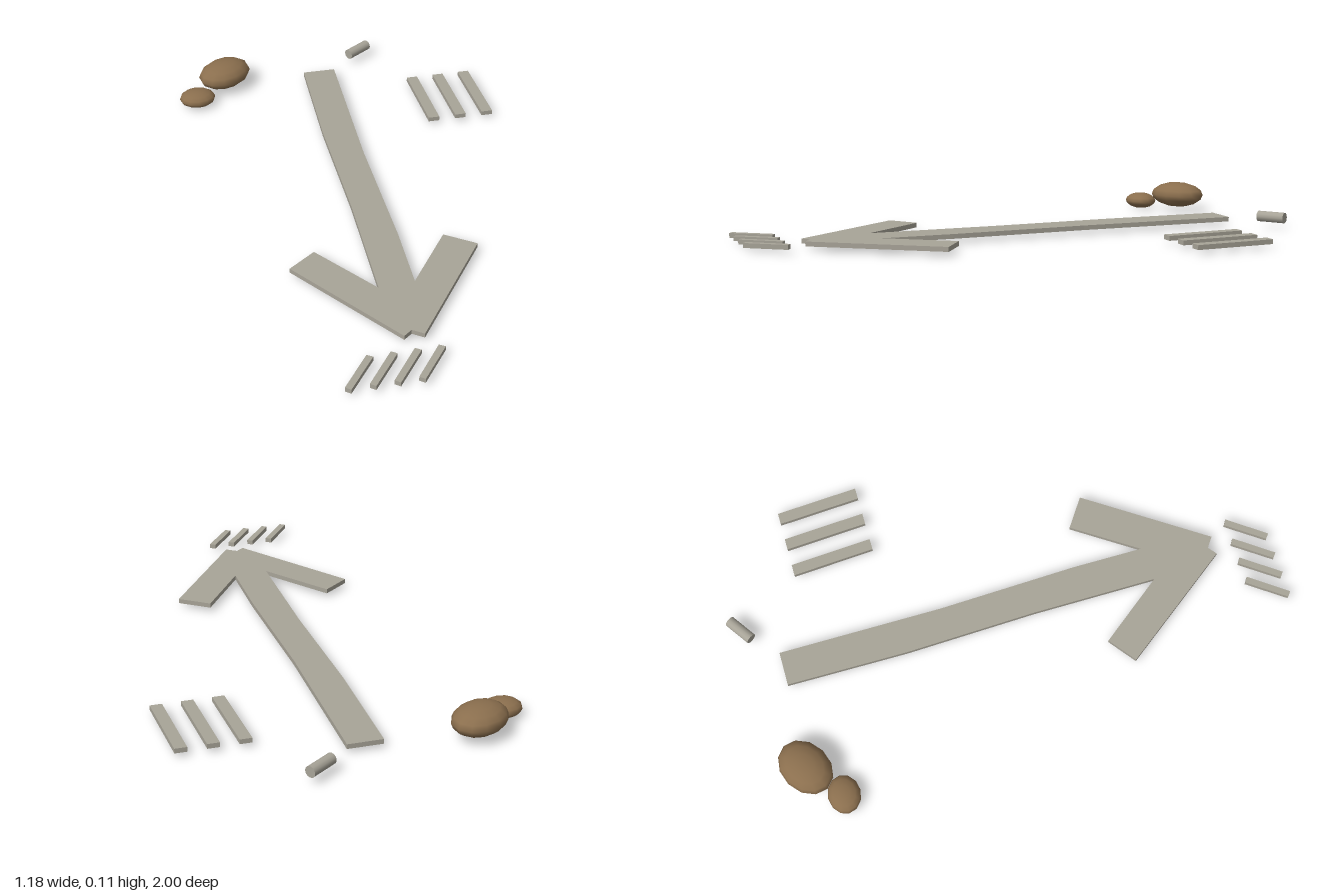
import * as THREE from 'three';

const clay = new THREE.MeshStandardMaterial({ color: 0xa8a498 });
clay.name = 'pale stone';
const brown = new THREE.MeshStandardMaterial({ color: 0x8b6f4e });
brown.name = 'brown pebble';

const SLAB_BOTTOM = 0.015;
const SLAB_HEIGHT = 0.017;

// Flat slab from an outline of [x, z] points
function slab(name, outline) {
  const shape = new THREE.Shape(outline.map(([x, z]) => new THREE.Vector2(x, -z)));
  const geometry = new THREE.ExtrudeGeometry(shape, { depth: SLAB_HEIGHT, bevelEnabled: false });
  geometry.rotateX(-Math.PI / 2);
  geometry.translate(0, SLAB_BOTTOM, 0);
  const mesh = new THREE.Mesh(geometry, clay);
  mesh.name = name;
  return mesh;
}

// Flattened pebble
function pebble(name, position, radii, turn) {
  const mesh = new THREE.Mesh(new THREE.SphereGeometry(1, 12, 8), brown);
  mesh.name = name;
  mesh.position.set(...position);
  mesh.scale.set(...radii);
  mesh.rotation.y = turn;
  return mesh;
}

export function createModel() {
  const model = new THREE.Group();
  model.name = 'groundArrow';

  // Slightly wavering shaft joined to two barbs, with a notched tip
  model.add(slab('arrow', [
    [-0.082, -0.84], [-0.086, -0.4], [-0.072, 0.08], [-0.072, 0.54],
    [-0.25, 0.307], [-0.347, 0.38], [-0.042, 0.792], [-0.012, 0.768],
    [0.026, 0.795], [0.315, 0.377], [0.21, 0.304], [0.055, 0.53],
    [0.056, 0.27], [0.04, -0.24], [0.042, -0.84],
  ]));

  // Three long strokes beside the shaft
  for (let i = 0; i < 3; i++) {
    const x = i * 0.106;
    model.add(slab('longStroke', [
      [0.317 + x, -0.717], [0.335 + x, -0.417], [0.377 + x, -0.417], [0.359 + x, -0.717],
    ]));
  }

  // Four slanted tally strokes past the tip
  for (let i = 0; i < 4; i++) {
    const x = i * 0.079;
    model.add(slab('tallyStroke', [
      [-0.18 + x, 0.854], [-0.276 + x, 0.986], [-0.258 + x, 1.0], [-0.16 + x, 0.867],
    ]));
  }

  // Pebbles
  model.add(pebble('largePebble', [-0.402, 0.065, -0.85], [0.11, 0.049, 0.083], 0.52));
  model.add(pebble('smallPebble', [-0.525, 0.031, -0.746], [0.07, 0.031, 0.058], 0));

  // Short peg lying on its side
  const peg = new THREE.Mesh(new THREE.CylinderGeometry(0.02, 0.02, 0.106, 12).rotateZ(Math.PI / 2), clay);
  peg.name = 'peg';
  peg.position.set(0.163, 0.042, -0.954);
  peg.rotation.y = 0.6;
  model.add(peg);

  return model;
}
